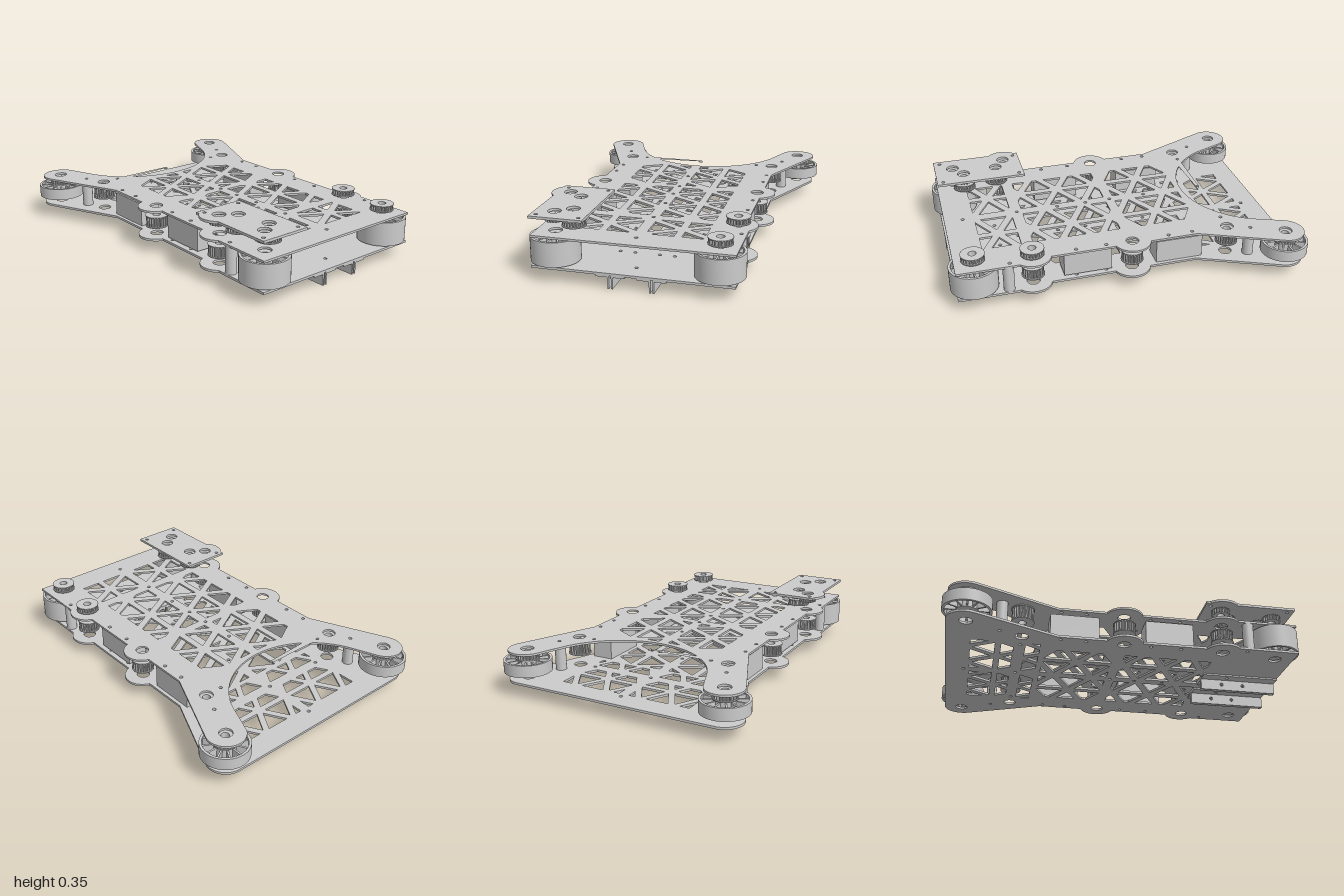
import * as THREE from 'three';
import { toCreasedNormals } from 'three/addons/utils/BufferGeometryUtils.js';

const mat = new THREE.MeshStandardMaterial({ color: 0xcccccc });
const V = (x, z) => new THREE.Vector2(x, z);
const rad = Math.PI / 180;

// points of an arc in the ground plane, degrees
function arc(cx, cz, r, a0, a1, n = 24) {
  return Array.from({ length: n + 1 }, (_, i) => {
    const a = (a0 + (a1 - a0) * i / n) * rad;
    return V(cx + r * Math.cos(a), cz + r * Math.sin(a));
  });
}
const circle = (x, z, r, n = 24) => arc(x, z, r, 0, 360 * (1 - 1 / n), n - 1);
const rect = (x0, x1, z0, z1) => [V(x0, z0), V(x1, z0), V(x1, z1), V(x0, z1)];

// counter-clockwise copy of an outline, so that hole walls face inwards
const ccw = pts => THREE.ShapeUtils.isClockWise(pts) ? [...pts].reverse() : pts;

// flat slab with (x, z) outline and holes, from y0 to y1
function slab(name, outline, holes, y0, y1) {
  const shape = new THREE.Shape(ccw(outline));
  // a hair of shear keeps hole corners from lining up in the triangulation
  shape.holes = holes.map(h => new THREE.Path(h.map(p => V(p.x + 1e-4 * p.y, p.y))));
  const geo = new THREE.ExtrudeGeometry(shape, { depth: y1 - y0, bevelEnabled: false });
  geo.rotateX(Math.PI / 2).translate(0, y1, 0);
  const mesh = new THREE.Mesh(toCreasedNormals(geo, 0.5), mat);
  mesh.name = name;
  return mesh;
}

function box(name, x0, x1, y0, y1, z0, z1) {
  const mesh = new THREE.Mesh(new THREE.BoxGeometry(x1 - x0, y1 - y0, z1 - z0), mat);
  mesh.position.set((x0 + x1) / 2, (y0 + y1) / 2, (z0 + z1) / 2);
  mesh.name = name;
  return mesh;
}

// keep the part of a polygon where side * p[axis] >= side * limit
function clip(poly, axis, limit, side) {
  const out = [];
  poly.forEach((p, i) => {
    const q = poly[(i + 1) % poly.length];
    const dp = side * (p[axis] - limit), dq = side * (q[axis] - limit);
    if (dp >= 0) out.push(p);
    if (dp * dq < 0) out.push(p.clone().lerp(q, dp / (dp - dq)));
  });
  return out;
}

// triangular lattice pockets inside a rectangle; swap turns the ribs sideways
function lattice(x0, x1, z0, z1, l0, h, c, a, swap = false) {
  const pockets = [];
  const node = (k, t) => swap ? V(t, l0 + k * h) : V(l0 + k * h, t);
  for (let k = -4; k < 4; k++) for (let m = -6; m < 6; m++) for (const flip of [0, 1]) {
    const base = k + flip, apex = k + 1 - flip;
    const t = c + (base % 2 ? a / 2 : 0) + m * a;
    let tri = [node(base, t), node(base, t + a), node(apex, t + a / 2)];
    const mid = tri[0].clone().add(tri[1]).add(tri[2]).divideScalar(3);
    tri = tri.map(p => p.sub(mid).multiplyScalar(0.7).add(mid));
    tri = clip(clip(tri, 'x', x0, 1), 'x', x1, -1);
    tri = clip(clip(tri, 'y', z0, 1), 'y', z1, -1);
    if (tri.length > 2 && Math.abs(THREE.ShapeUtils.area(tri)) > 0.0005) pockets.push(tri);
  }
  return pockets;
}

const mirrored = half => [...half, ...half.map(p => V(-p.x, p.y)).reverse()];

// toothed pulley with optional flanges
function pulley(name, x, z, y0, y1, r, flanged = true, teeth = 22) {
  const g = new THREE.Group();
  g.name = name;
  const rim = [];
  for (let i = 0; i < teeth; i++) {
    [[0, 0.86], [0.2, 1], [0.5, 1], [0.7, 0.86]].forEach(([f, s]) => {
      const a = (i + f) / teeth * 2 * Math.PI;
      rim.push(V(x + r * s * Math.cos(a), z + r * s * Math.sin(a)));
    });
  }
  const bore = [circle(x, z, 0.022)];
  const f = flanged ? 0.005 : 0;
  g.add(slab('toothedRing', rim, bore, y0 + f, y1 - f));
  if (flanged) {
    g.add(slab('lowerFlange', circle(x, z, r + 0.004, 32), bore, y0, y0 + f));
    g.add(slab('upperFlange', circle(x, z, r + 0.004, 32), bore, y1 - f, y1));
  }
  return g;
}

// spoked wheel with a thin rim
function wheel(name, x, z, y0, y1) {
  const g = new THREE.Group();
  g.name = name;
  g.add(slab('rim', circle(x, z, 0.132, 48), [circle(x, z, 0.118, 48)], y0, y1));
  g.add(slab('hub', circle(x, z, 0.06, 32), [circle(x, z, 0.022)], y0, y1));
  for (let i = 0; i < 12; i++) {
    const s = new THREE.Mesh(new THREE.BoxGeometry(0.066, y1 - y0 - 0.01, 0.01), mat);
    const a = i * Math.PI / 6;
    s.position.set(x + 0.088 * Math.cos(a), (y0 + y1) / 2, z + 0.088 * Math.sin(a));
    s.rotation.y = -a;
    s.name = 'spoke';
    g.add(s);
  }
  return g;
}

export function createModel() {
  const model = new THREE.Group();
  model.name = 'driveChassis';

  // shared plate outline, front to rear horn
  const side = [V(0.535, 0.97), ...arc(0.465, 0.55, 0.105, 48, -70), ...arc(0.47, -0.01, 0.105, 73, -73), V(0.5, -0.38)];
  const topOutline = mirrored([...side, ...arc(0.6, -0.87, 0.105, 23, -157), ...arc(0, -0.94, 0.48, 25, 88)]);
  const bottomOutline = mirrored([...side, ...arc(0.6, -0.87, 0.105, 23, -90)]);

  // axle holes, screw holes and lattice pockets
  const axles = [[0.6, -0.87], [0.47, -0.57], [0.47, -0.01], [0.465, 0.55], [0.435, 0.865]];
  const screws = [[0.47, -0.36], [0.47, -0.22], [0.47, 0.14], [0.47, 0.31], [0.52, -0.69], [0.505, 0.68], [0.37, -0.57]];
  const holes = [], topHoles = [], bottomHoles = [];
  const panel = (a, b, z0, z1) => lattice(a, b, z0, z1, 0, 0.2, (z0 + z1) / 2 + 0.115, 0.23);
  for (const s of [1, -1]) {
    axles.forEach(([x, z]) => holes.push(circle(s * x, z, 0.036)));
    screws.forEach(([x, z]) => holes.push(circle(s * x, z, 0.01, 12)));
    const [a, b] = s > 0 ? [0.03, 0.335] : [-0.335, -0.03];
    holes.push(...panel(a, b, -0.43, -0.035), ...panel(a, b, 0.02, 0.52));
    topHoles.push(...panel(a, b, 0.585, 0.8));
    const [c, d] = s > 0 ? [0.03, 0.39] : [-0.39, -0.03];
    bottomHoles.push(...lattice(c, d, -0.84, -0.605, -0.69, 0.173, 0, 0.2, true));
    bottomHoles.push(...lattice(c, d, -0.54, -0.46, -0.56, 0.173, 0, 0.2, true));
    bottomHoles.push(circle(s * 0.068, 0.67, 0.01, 12), circle(s * 0.15, 0.67, 0.01, 12));
  }
  for (const z of [-0.57, -0.22, -0.008, 0.14, 0.31, 0.55, 0.865]) holes.push(circle(0, z, 0.01, 12));
  bottomHoles.push(circle(0, -0.87, 0.01, 12));
  model.add(slab('topPlate', topOutline, [...holes, ...topHoles], 0.238, 0.25));
  model.add(slab('bottomPlate', bottomOutline, [...holes, ...bottomHoles], 0.072, 0.085));

  // mirrored running gear between the plates
  for (const s of [1, -1]) {
    model.add(wheel('rearWheel', s * 0.602, -0.868, 0.125, 0.193));
    model.add(pulley('rearWheelPulley', s * 0.602, -0.868, 0.193, 0.235, 0.062));
    model.add(pulley('rearIdlerPulley', s * 0.47, -0.57, 0.155, 0.235, 0.06));
    model.add(pulley('middlePulley', s * 0.47, -0.01, 0.13, 0.195, 0.06));
    model.add(pulley('frontPulley', s * 0.465, 0.55, 0.13, 0.195, 0.06));
    model.add(wheel('frontDrum', s * 0.437, 0.868, 0.095, 0.23));
    for (const [x, z] of [[0.52, -0.685], [0.505, 0.69]]) {
      model.add(slab('standoff', circle(s * x, z, 0.031), [circle(s * x, z, 0.01, 12)], 0.085, 0.238));
    }
    const [x0, x1] = s > 0 ? [0.36, 0.48] : [-0.48, -0.36];
    model.add(box('frontSideBlock', x0, x1, 0.095, 0.225, 0.11, 0.38));
    model.add(box('rearSideBlock', x0, x1, 0.082, 0.22, -0.42, -0.15));
  }

  // drive pulleys above the top plate
  for (const [x, z] of [[0.465, 0.55], [0.435, 0.865], [-0.388, 0.608], [-0.355, 0.806]]) {
    model.add(pulley('drivePulley', x, z, 0.263, 0.3, 0.062));
  }

  // meshing gears and their cover plate
  const gears = [[-0.47, 0.55], [-0.388, 0.608], [-0.437, 0.863], [-0.355, 0.806]];
  gears.forEach(([x, z]) => model.add(pulley('spurGear', x, z, 0.305, 0.335, 0.052, false, 20)));
  const cover = [V(-0.25, 0.45), V(-0.25, 0.97), V(-0.54, 0.97), ...arc(-0.47, 0.55, 0.105, 132, 228), V(-0.54, 0.45)];
  const coverHoles = gears.map(([x, z]) => circle(x, z, 0.036));
  for (const x of [-0.51, -0.28]) for (const z of [0.48, 0.935]) coverHoles.push(circle(x, z, 0.01, 12));
  model.add(slab('gearCover', cover, coverHoles, 0.34, 0.354));

  // back-to-back angle brackets below the front
  const fin = new THREE.Shape(rect(0.52, 0.97, 0, 0.072));
  fin.holes = [0.645, 0.775].map(z => new THREE.Path(circle(z, 0.035, 0.01, 16)));
  const finGeo = new THREE.ExtrudeGeometry(fin, { depth: 0.009, bevelEnabled: false });
  finGeo.rotateY(-Math.PI / 2).translate(0.0045, 0, 0);
  for (const cx of [-0.109, 0.109]) for (const s of [1, -1]) {
    const web = new THREE.Mesh(finGeo, mat);
    web.position.x = cx + s * 0.0095;
    web.name = 'bracketWeb';
    model.add(web);
    const [a, b] = s > 0 ? [cx + 0.005, cx + 0.076] : [cx - 0.076, cx - 0.005];
    model.add(slab('bracketFlange', rect(a, b, 0.52, 0.97), [circle(cx + s * 0.041, 0.67, 0.01, 12)], 0.063, 0.072));
  }
  return model;
}
